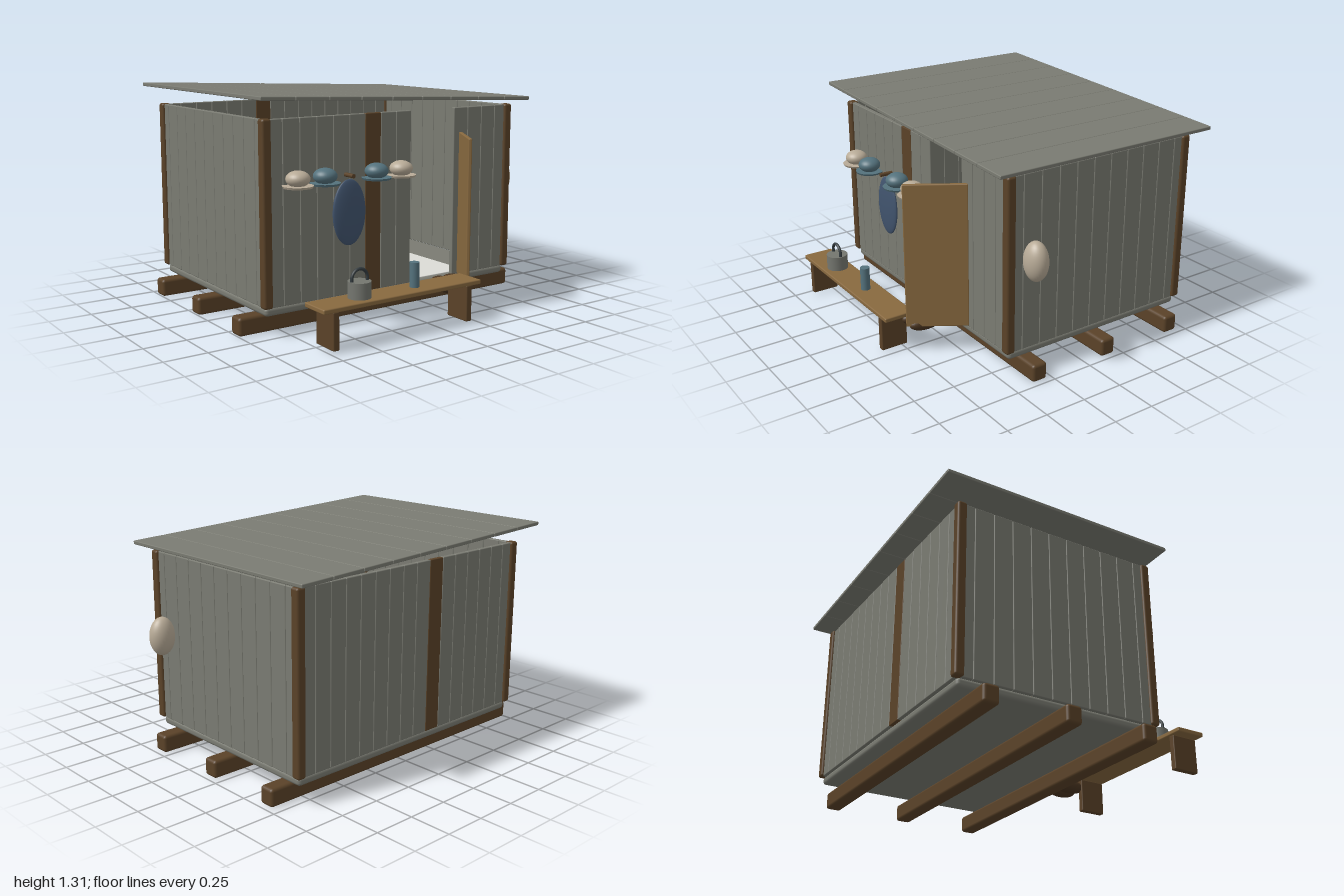
import * as THREE from 'three';
import { RoundedBoxGeometry } from 'three/addons/geometries/RoundedBoxGeometry.js';

const mat = (name, color) => Object.assign(new THREE.MeshStandardMaterial({ color }), { name });

export function createModel() {
  const model = new THREE.Group();
  model.name = 'cabin';
  const grey = mat('weathered grey wood', 0x7a7b72);
  const brown = mat('dark brown timber', 0x5a4228);
  const tan = mat('tan wood', 0x88693f);
  const leather = mat('boot leather', 0x493420);
  const cream = mat('cream', 0xb8ab97);
  const teal = mat('teal glaze', 0x54727d);
  const blue = mat('dark blue', 0x41546e);
  const tin = mat('tin', 0x74766f);
  const iron = mat('dark iron', 0x343c40);
  const pale = mat('pale cloth', 0xdcdcd6);

  const add = (name, geo, material, x, y, z, parent = model) => {
    const m = new THREE.Mesh(geo, material);
    m.name = name;
    m.position.set(x, y, z);
    parent.add(m);
    return m;
  };
  const box = (name, material, w, h, d, x, y, z, r = 0.006, parent = model) =>
    add(name, new RoundedBoxGeometry(w, h, d, 2, r), material, x, y, z, parent);
  const ball = (name, material, rx, ry, rz, x, y, z, parent = model) => {
    const m = add(name, new THREE.SphereGeometry(1, 32, 20), material, x, y, z, parent);
    m.scale.set(rx, ry, rz);
    return m;
  };
  const rod = (name, material, rTop, rBottom, h, x, y, z, parent = model) =>
    add(name, new THREE.CylinderGeometry(rTop, rBottom, h, 32), material, x, y, z, parent);
  const group = (name) => {
    const g = new THREE.Group();
    g.name = name;
    model.add(g);
    return g;
  };

  // Skids and floor
  for (const z of [0.33, -0.16, -0.65]) box('skid', brown, 1.97, 0.105, 0.095, -0.015, 0.0525, z, 0.018);
  box('floor', grey, 1.73, 0.05, 1.235, -0.015, 0.135, -0.16, 0.02);
  box('floorMat', pale, 0.8, 0.008, 0.65, 0.15, 0.164, 0.1, 0.003);

  // Corner posts
  const xs = [-0.873, 0.845], zs = [0.457, -0.773];
  for (const x of xs) for (const z of zs) box('cornerPost', brown, 0.056, 1.025, 0.056, x, 0.672, z, 0.014);

  // Front and back walls: one brown plank each, doorway left open at the front
  const wallY = 0.67, wallH = 1.02;
  zs.forEach((z, side) => {
    const wall = group(side ? 'backWall' : 'frontWall');
    const pitch = 1.73 / 16;
    for (let i = 0; i < 16; i++) {
      if (side === 0 && i >= 9 && i <= 11) continue;
      box('wallPlank', i === 6 ? brown : grey, pitch - 0.001, wallH, 0.028,
        -0.88 + pitch * (i + 0.5), wallY, z, 0.005, wall);
    }
  });

  // Side walls
  xs.forEach((x, side) => {
    const wall = group(side ? 'leftWall' : 'rightWall');
    const pitch = 1.3 / 11;
    for (let i = 0; i < 11; i++) {
      const a = Math.max(-0.773, -0.808 + pitch * i), b = Math.min(0.457, -0.808 + pitch * (i + 1));
      box('wallPlank', grey, 0.028, wallH, b - a - 0.001, x, wallY, (a + b) / 2, 0.005, wall);
    }
  });

  // Sloping plank roof
  const roof = group('roof');
  roof.position.set(-0.015, 1.26, -0.162);
  roof.rotation.z = -0.041;
  for (let i = 0; i < 9; i++) box('roofPlank', grey, 0.2095, 0.022, 1.475, (i - 4) * 0.2105, 0, 0, 0.005, roof);

  // Door swung open on its hinge side
  const door = group('door');
  door.position.set(0.475, 0.6, 0.465);
  door.rotation.y = Math.atan2(0.3, 0.19);
  box('doorPanel', tan, 0.36, 0.865, 0.022, -0.18, 0, 0, 0.006, door);

  // Bench
  const bench = group('bench');
  box('benchTop', tan, 1.065, 0.027, 0.185, -0.262, 0.231, 0.803, 0.007, bench);
  for (const x of [-0.713, 0.19]) box('benchLeg', brown, 0.038, 0.208, 0.165, x, 0.115, 0.807, 0.006, bench);

  // Kettle and bottle on the bench
  const kettle = group('kettle');
  rod('kettleBody', tin, 0.064, 0.064, 0.09, -0.508, 0.29, 0.803, kettle);
  add('kettleHandle', new THREE.TorusGeometry(0.05, 0.009, 10, 28, Math.PI), iron, -0.508, 0.35, 0.803, kettle);
  for (const s of [-1, 1]) rod('handleLug', iron, 0.009, 0.009, 0.03, -0.508 + s * 0.05, 0.337, 0.803, kettle);
  rod('bottle', teal, 0.028, 0.028, 0.14, -0.138, 0.315, 0.803);

  // Cups on saucers along the front wall
  [[-0.715, cream], [-0.542, teal], [-0.198, teal], [-0.025, cream]].forEach(([x, m]) => {
    const cup = group('cupAndSaucer');
    rod('saucer', m, 0.086, 0.08, 0.012, x, 0.82, 0.53, cup);
    ball('cup', m, 0.067, 0.045, 0.067, x, 0.862, 0.53, cup);
  });

  // Hanging blue oval on its peg
  ball('hangingOval', blue, 0.11, 0.187, 0.022, -0.367, 0.64, 0.505);
  rod('peg', brown, 0.012, 0.012, 0.09, -0.367, 0.848, 0.505).rotation.x = Math.PI / 2;

  // Pale oval on the side wall
  ball('sideOval', cream, 0.078, 0.115, 0.065, 0.92, 0.704, 0.335);

  // Boots by the doorway
  for (const x of [0.21, 0.3]) ball('boot', leather, 0.045, 0.046, 0.11, x, 0.17, 0.645);

  return model;
}
